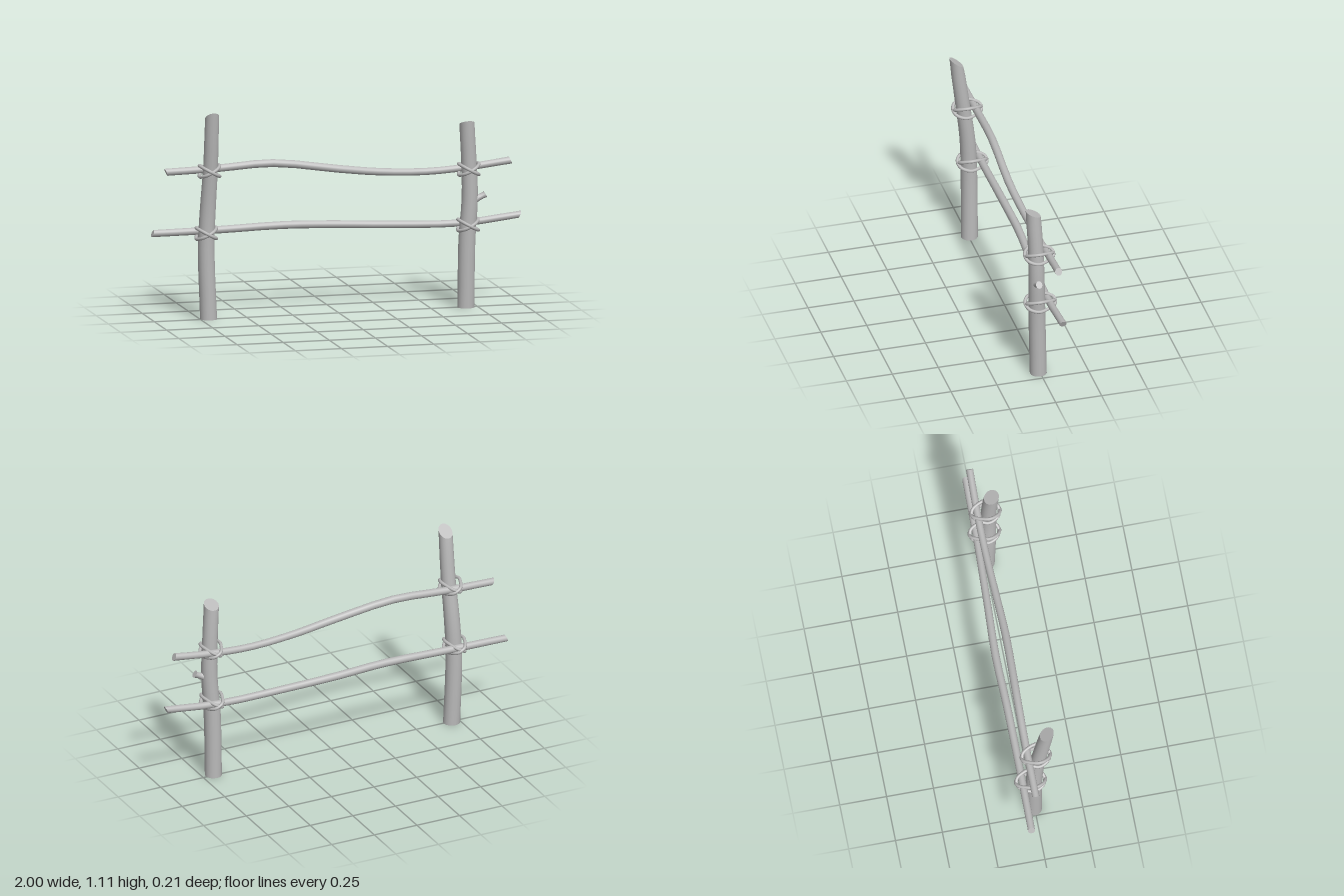
import * as THREE from 'three';

const SIDES = 16;

// Sweep of round sections along a path running mainly up ('y') or across ('x').
// Points are [x, y, z, radius]; cuts slant the two ends along the main axis.
function logGeometry(points, axis, cutStart = 0, cutEnd = 0, steps = 3) {
  const A = axis === 'y' ? new THREE.Vector3(0, 1, 0) : new THREE.Vector3(1, 0, 0);
  const U = axis === 'y' ? new THREE.Vector3(0, 0, 1) : new THREE.Vector3(0, 1, 0);
  const V = A.clone().cross(U);
  const path = new THREE.CatmullRomCurve3(points.map(p => new THREE.Vector3(p[0], p[1], p[2])));
  const spans = points.length - 1;
  const count = spans * steps;
  const pos = [], index = [];

  const ring = i => {
    const t = i / count;
    const k = Math.min(Math.floor(t * spans), spans - 1);
    const r = THREE.MathUtils.lerp(points[k][3], points[k + 1][3], t * spans - k);
    const cut = i === 0 ? cutStart : i === count ? cutEnd : 0;
    const c = path.getPoint(t);
    for (let j = 0; j < SIDES; j++) {
      const a = j / SIDES * Math.PI * 2, u = Math.cos(a) * r;
      const p = c.clone().addScaledVector(U, u).addScaledVector(V, Math.sin(a) * r).addScaledVector(A, cut * u);
      pos.push(p.x, p.y, p.z);
    }
  };

  // side wall
  for (let i = 0; i <= count; i++) ring(i);
  for (let i = 0; i < count; i++) {
    for (let j = 0; j < SIDES; j++) {
      const a = i * SIDES + j, b = i * SIDES + (j + 1) % SIDES;
      index.push(a, b, b + SIDES, a, b + SIDES, a + SIDES);
    }
  }
  // flat end caps with their own vertices, so the rims stay sharp
  for (const i of [0, count]) {
    const s = pos.length / 3;
    ring(i);
    for (let j = 1; j < SIDES - 1; j++) {
      if (i === 0) index.push(s, s + j + 1, s + j);
      else index.push(s, s + j, s + j + 1);
    }
  }
  const g = new THREE.BufferGeometry();
  g.setAttribute('position', new THREE.Float32BufferAttribute(pos, 3));
  g.setIndex(index);
  g.computeVertexNormals();
  return g;
}

// One rope loop round post and rail, tilted sideways by rise
function loopGeometry(x, y, zFront, zBack, rise) {
  const mid = zFront - 0.06;
  const half = [
    [0, zFront], [0.032, zFront - 0.014], [0.053, mid], [0.043, (mid + zBack) / 2], [0.022, zBack + 0.008],
    [0, zBack], [-0.022, zBack + 0.008], [-0.043, (mid + zBack) / 2], [-0.053, mid], [-0.032, zFront - 0.014],
  ];
  const pts = half.map(([u, z]) => new THREE.Vector3(x + u, y + rise * u / 0.053, z));
  return new THREE.TubeGeometry(new THREE.CatmullRomCurve3(pts, true), 40, 0.009, 8, true);
}

export function createModel() {
  const group = new THREE.Group();
  const wood = new THREE.MeshStandardMaterial({ color: 0xb8b8b8 });
  wood.name = 'plain grey';
  const add = (name, geometry) => {
    const mesh = new THREE.Mesh(geometry, wood);
    mesh.name = name;
    group.add(mesh);
  };

  // posts with slanted tops
  add('rightPost', logGeometry([
    [-0.705, 0, -0.005, 0.045], [-0.718, 0.38, -0.006, 0.044], [-0.711, 0.6, 0.004, 0.042],
    [-0.704, 0.82, 0.032, 0.039], [-0.705, 1.087, 0.066, 0.037],
  ], 'y', 0, 0.75));
  add('leftPost', logGeometry([
    [0.687, 0, 0.008, 0.045], [0.69, 0.36, 0.016, 0.045], [0.704, 0.58, 0.022, 0.043],
    [0.699, 0.77, 0.025, 0.041], [0.685, 0.985, 0.035, 0.04],
  ], 'y', 0, 0.45));

  // cut branch on the left post
  add('branchStub', logGeometry([
    [0.7, 0.562, 0.022, 0.042], [0.735, 0.577, 0.025, 0.024], [0.755, 0.586, 0.027, 0.018], [0.785, 0.602, 0.03, 0.017],
  ], 'x', 0, -0.6));

  // rails lashed behind the posts
  add('upperRail', logGeometry([
    [-0.928, 0.787, -0.035, 0.019], [-0.65, 0.795, -0.035, 0.02], [-0.35, 0.81, -0.03, 0.021],
    [0, 0.765, -0.02, 0.021], [0.22, 0.738, -0.026, 0.02], [0.48, 0.725, -0.035, 0.019],
    [0.7, 0.737, -0.037, 0.019], [0.938, 0.765, -0.033, 0.019],
  ], 'x', -0.43, -0.43));
  add('lowerRail', logGeometry([
    [-0.992, 0.457, -0.07, 0.019], [-0.65, 0.461, -0.067, 0.02], [-0.28, 0.47, -0.068, 0.021],
    [0, 0.46, -0.073, 0.021], [0.3, 0.447, -0.06, 0.02], [0.68, 0.44, -0.046, 0.019],
    [0.991, 0.472, -0.043, 0.019],
  ], 'x', 0.43, 0.43));

  // crossed rope lashings: name, x, y, front z, back z
  const joints = [
    ['rightUpper', -0.706, 0.793, 0.08, -0.066],
    ['rightLower', -0.716, 0.457, 0.052, -0.098],
    ['leftUpper', 0.7, 0.737, 0.08, -0.067],
    ['leftLower', 0.697, 0.44, 0.077, -0.077],
  ];
  for (const [name, x, y, front, back] of joints) {
    add(name + 'RopeRising', loopGeometry(x, y, front, back, 0.029));
    add(name + 'RopeFalling', loopGeometry(x, y, front + 0.004, back - 0.004, -0.029));
  }
  return group;
}
